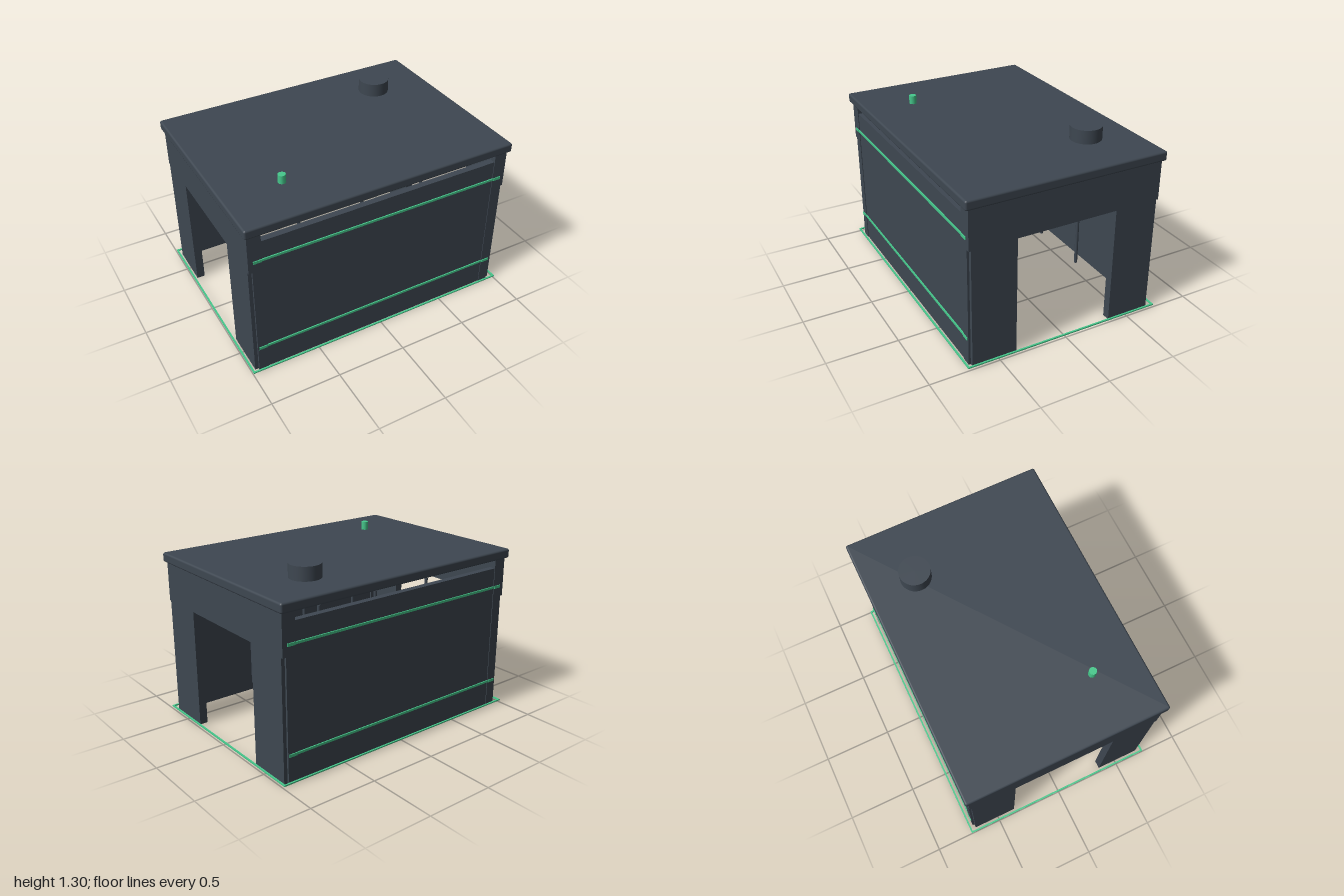
import * as THREE from 'three';
import { RoundedBoxGeometry } from 'three/addons/geometries/RoundedBoxGeometry.js';

export function createModel() {
  const model = new THREE.Group();
  const mat = (name, color) => {
    const m = new THREE.MeshStandardMaterial({ color });
    m.name = name;
    return m;
  };
  const slate = mat('slate', 0x3e4751);
  const green = mat('green', 0x46c88c);
  const pale = mat('pale light', 0xe4eaec);

  const add = (name, geometry, material, x = 0, y = 0, z = 0) => {
    const mesh = new THREE.Mesh(geometry, material);
    mesh.name = name;
    mesh.position.set(x, y, z);
    model.add(mesh);
    return mesh;
  };
  // box given by its minimum and maximum on each axis
  const box = (name, material, [x0, x1], [y0, y1], [z0, z1]) =>
    add(name, new THREE.BoxGeometry(Math.abs(x1 - x0), y1 - y0, Math.abs(z1 - z0)), material,
      (x0 + x1) / 2, (y0 + y1) / 2, (z0 + z1) / 2);

  const top = 1.14, doorTop = 0.855;

  // roof slab with softened edges
  add('roof', new RoundedBoxGeometry(1.98, 0.068, 1.45, 2, 0.014), slate, 0, 1.172, 0);

  // roof fittings
  add('roofVent', new THREE.CylinderGeometry(0.109, 0.109, 0.1, 32), slate, 0.563, 1.252, -0.38);
  add('roofBeacon', new THREE.CylinderGeometry(0.027, 0.027, 0.065, 10), green, -0.57, 1.234, 0.375);

  for (const s of [1, -1]) {
    // long walls, with an open slot below the roof
    box('longWall', slate, [-0.875, 0.875], [0, 1.073], [s * 0.65, s * 0.695]);
    for (const t of [1, -1]) {
      box('cornerPost', slate, [t * 0.875, t * 0.945], [0, top], [s * 0.64, s * 0.7]);
      // piers beside the doorways
      box('doorPier', slate, [t * 0.912, t * 0.97], [0, doorTop], [s * 0.365, s * 0.685]);
    }

    // lintel over each doorway
    box('doorLintel', slate, [s * 0.912, s * 0.97], [doorTop, top], [-0.7, 0.7]);

    // trim strips with slightly taller end caps
    for (const y of [0.197, 0.932]) {
      box('trimStrip', green, [-0.88, 0.88], [y - 0.008, y + 0.008], [s * 0.69, s * 0.703]);
      for (const t of [1, -1])
        box('trimEnd', green, [t * 0.88, t * 0.937], [y - 0.01, y + 0.01], [s * 0.69, s * 0.706]);
    }

    // ceiling lights and inner upright rods
    box('ceilingLight', pale, [-0.9, 0.9], [1.097, 1.112], [s * 0.265, s * 0.295]);
    for (const x of [-0.48, 0, 0.48])
      add('uprightRod', new THREE.CylinderGeometry(0.012, 0.012, 0.83, 10), slate, x, 0.595, s * 0.41);

    // ground outline
    box('groundLineLong', green, [-1, 1], [0.016, 0.025], [s * 0.718, s * 0.73]);
    box('groundLineShort', green, [s * 0.988, s * 1], [0.016, 0.025], [-0.718, 0.718]);
  }
  return model;
}
